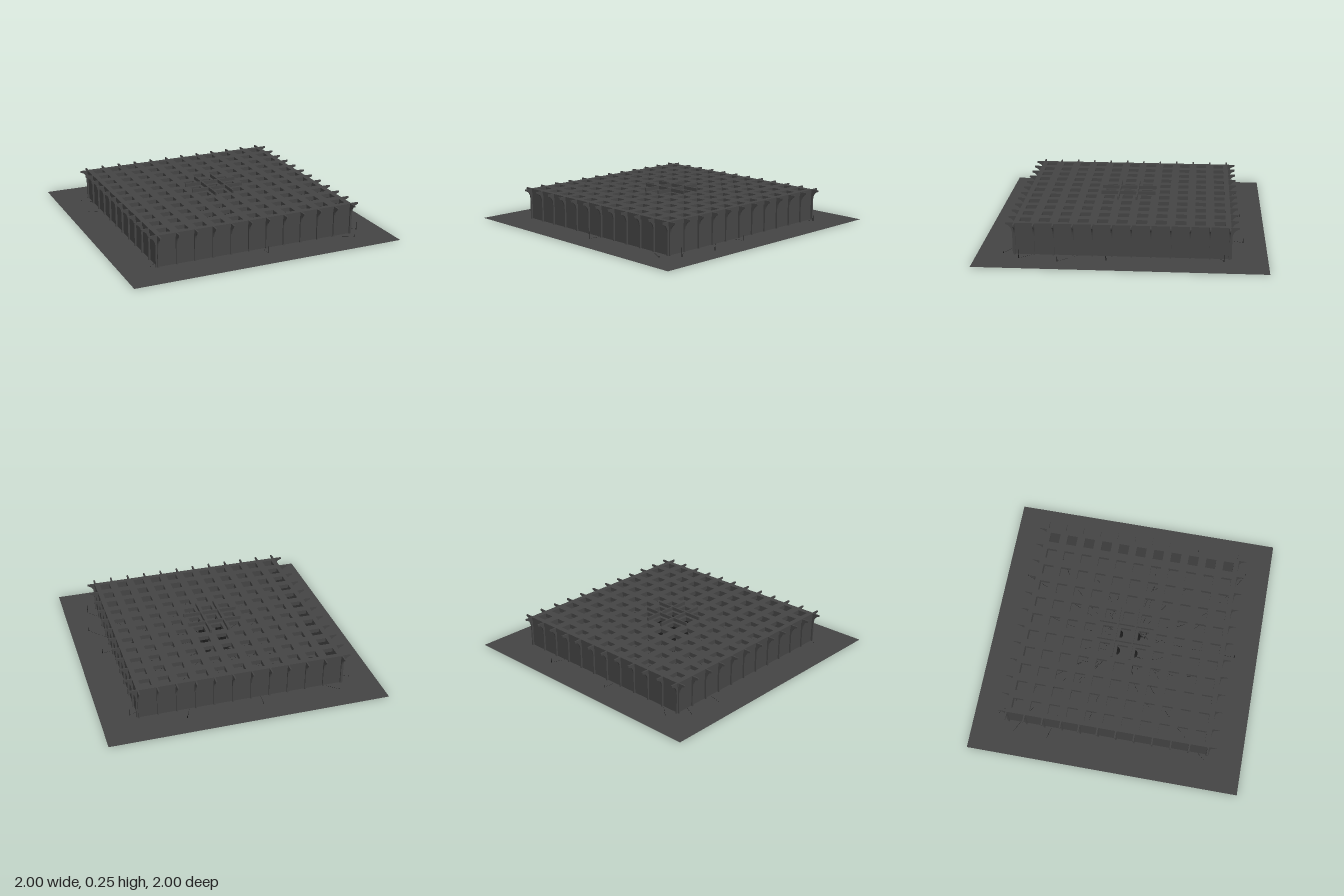
import * as THREE from 'three';

const N = 11, STEP = 0.134, HALF = 0.745, ROOF = 0.23;

function rectPath(Type, x, y, h) {
  const p = new Type();
  p.moveTo(x - h, y - h);
  p.lineTo(x + h, y - h);
  p.lineTo(x + h, y + h);
  p.lineTo(x - h, y + h);
  p.closePath();
  return p;
}

export function createModel() {
  const model = new THREE.Group();
  const dark = new THREE.MeshStandardMaterial({ color: 0x444444, side: THREE.DoubleSide });
  const black = new THREE.MeshStandardMaterial({ color: 0x1c1c1c, side: THREE.DoubleSide });
  let seed = 7;
  const rand = () => (seed = (seed * 16807) % 2147483647) / 2147483647;

  function add(name, geo, mat = dark, parent = model) {
    const m = new THREE.Mesh(geo, mat);
    m.name = name;
    parent.add(m);
    return m;
  }
  function group(name, parent = model) {
    const g = new THREE.Group();
    g.name = name;
    parent.add(g);
    return g;
  }

  // Ground sheet with two square joints set into it
  add('ground', new THREE.PlaneGeometry(2, 2).rotateX(-Math.PI / 2)).position.y = 0.002;
  for (const h of [0.46, 0.73]) {
    const s = rectPath(THREE.Shape, 0, 0, h);
    s.holes.push(rectPath(THREE.Path, 0, 0, h - 0.004));
    const g = new THREE.ExtrudeGeometry(s, { depth: 0.003, bevelEnabled: false }).rotateX(-Math.PI / 2);
    add('floorJoint', g);
  }

  // Coffered roof slab with a square opening in every bay
  const roof = rectPath(THREE.Shape, 0, 0, HALF);
  for (let i = 0; i < N; i++) {
    for (let j = 0; j < N; j++) {
      roof.holes.push(rectPath(THREE.Path, (i - 5) * STEP, (j - 5) * STEP, 0.038));
    }
  }
  const roofGeo = new THREE.ExtrudeGeometry(roof, { depth: 0.03, bevelEnabled: false }).rotateX(-Math.PI / 2);
  add('cofferedRoof', roofGeo).position.y = ROOF - 0.03;

  // Fin profile: a slim post flaring into a bracket under the eaves
  const fin = new THREE.Shape();
  fin.moveTo(0.733, 0.001);
  fin.lineTo(0.753, 0.001);
  fin.lineTo(0.753, 0.145);
  fin.bezierCurveTo(0.753, 0.185, 0.765, 0.21, 0.8, 0.218);
  fin.lineTo(0.8, ROOF);
  fin.lineTo(0.733, ROOF);
  fin.closePath();
  const finGeo = new THREE.ExtrudeGeometry(fin, { depth: 0.01, bevelEnabled: false, curveSegments: 8 });
  finGeo.translate(0, 0, -0.005);

  // Four identical facades: one wall and twelve fins each
  for (let side = 0; side < 4; side++) {
    const facade = group('facade');
    facade.rotation.y = side * Math.PI / 2;
    const wall = add('wall', new THREE.BoxGeometry(0.006, 0.2, 1.48), dark, facade);
    wall.position.set(0.737, 0.101, 0);
    for (let i = 0; i <= N; i++) {
      add('fin', finGeo, dark, facade).position.z = (i - N / 2) * STEP;
    }
  }

  // Crossed beams raised over the middle bays
  const beams = group('centralBeams');
  for (const s of [-1, 1]) {
    add('beam', new THREE.BoxGeometry(0.4, 0.025, 0.012), dark, beams).position.set(0, 0.2425, s * STEP / 2);
    add('beam', new THREE.BoxGeometry(0.012, 0.025, 0.4), dark, beams).position.set(s * STEP / 2, 0.2425, 0);
  }

  // Four flared trunks under the crossings
  const profile = [[0.04, 0], [0.034, 0.012], [0.022, 0.04], [0.018, 0.12], [0.022, 0.17], [0.034, 0.2]]
    .map(([r, y]) => new THREE.Vector2(r, y));
  const trunkGeo = new THREE.LatheGeometry(profile, 16);
  const baseGeo = new THREE.CircleGeometry(0.04, 16).rotateX(Math.PI / 2);
  for (const sx of [-1, 1]) {
    for (const sz of [-1, 1]) {
      const t = group('trunk');
      t.position.set(sx * STEP / 2, 0, sz * STEP / 2);
      add('trunkBody', trunkGeo, black, t);
      add('trunkBase', baseGeo, black, t);
    }
  }

  // Thin roots weaving in and out of the ground
  const roots = group('roots');
  function root(x, z) {
    const start = new THREE.Vector3(Math.sign(x) * 0.08, 0.002, Math.sign(z) * 0.08);
    const bend = (rand() - 0.5) * 0.25;
    const pts = [];
    for (let k = 0; k <= 16; k++) {
      const t = k / 16, sway = Math.sin(t * Math.PI) * bend;
      pts.push(new THREE.Vector3(
        THREE.MathUtils.lerp(start.x, x, t) - z * sway,
        k % 2 ? 0.0025 : 0.001,
        THREE.MathUtils.lerp(start.z, z, t) + x * sway));
    }
    add('root', new THREE.TubeGeometry(new THREE.CatmullRomCurve3(pts), 48, 0.001, 4), black, roots);
  }
  // Long roots reach outdoors and end in an upright shoot: x, z, height
  const ends = [
    [0.86, 0.43, 0.035], [0.73, 0.82, 0.02], [0.82, 0.7, 0.065], [0.79, -0.7, 0.05], [0.82, 0.1, 0.04],
    [0.42, -0.84, 0.035], [-0.13, -0.83, 0.02], [-0.82, -0.69, 0.01], [-0.84, -0.44, 0.005],
    [0.04, 0.83, 0.06], [-0.7, -0.82, 0.01], [-0.78, 0.72, 0.01],
  ];
  for (const [x, z, h] of ends) {
    root(x, z);
    add('shoot', new THREE.CylinderGeometry(0.001, 0.003, h, 5), black, roots).position.set(x, h / 2, z);
  }
  for (let i = 0; i < 32; i++) {
    const a = (i + rand()) / 32 * Math.PI * 2, r = 0.2 + 0.5 * rand();
    root(Math.cos(a) * r, Math.sin(a) * r);
  }
  return model;
}
